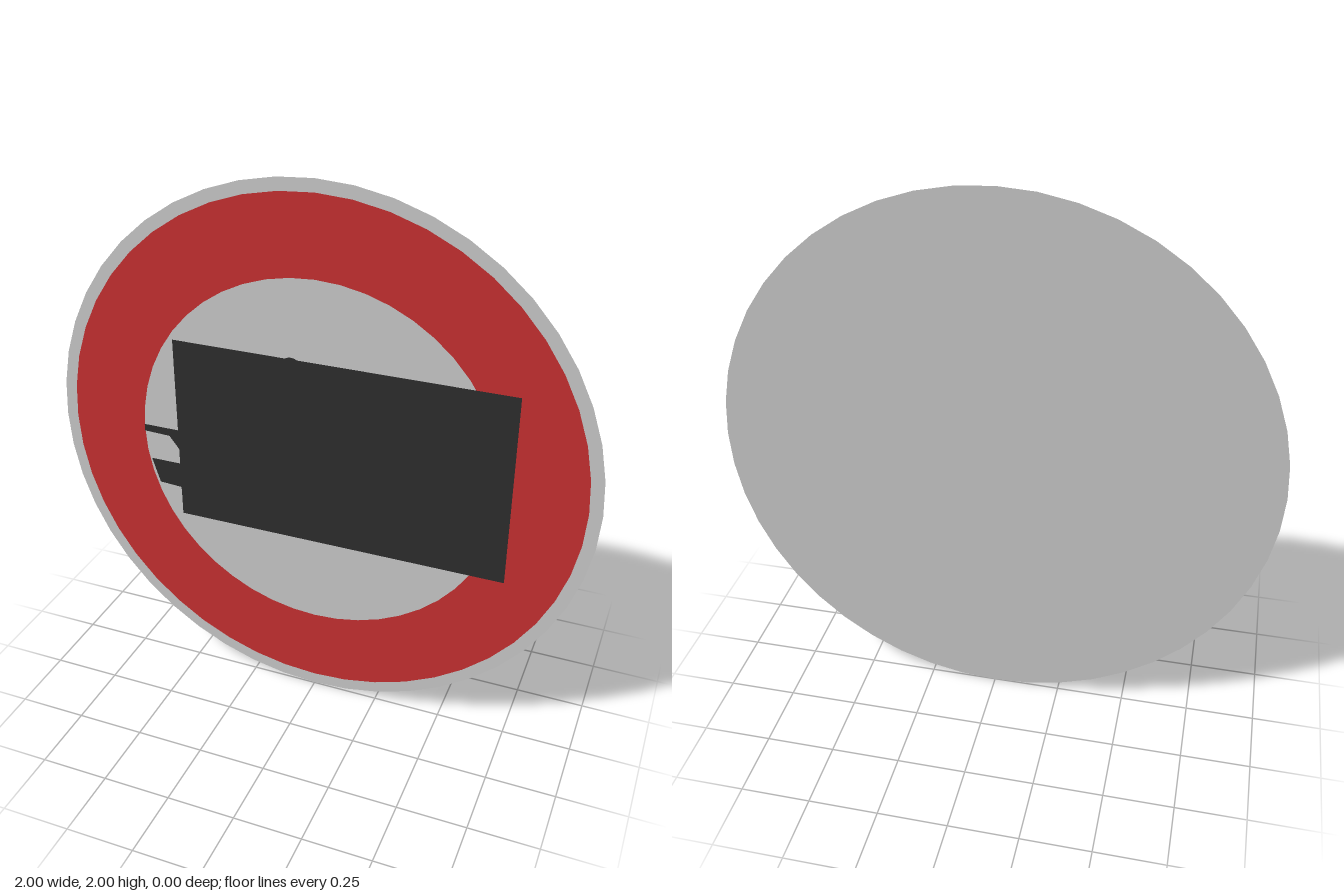
import * as THREE from 'three';

export function createModel() {
  const group = new THREE.Group();
  const SIDES = 48;

  // Adds one thin layer of the sign at depth z
  const layer = (name, geometry, color, x, y, z) => {
    const material = new THREE.MeshStandardMaterial({ color, side: THREE.DoubleSide });
    const mesh = new THREE.Mesh(geometry, material);
    mesh.name = name;
    mesh.position.set(x, y, z);
    group.add(mesh);
  };
  const polygon = (points) =>
    new THREE.ShapeGeometry(new THREE.Shape(points.map(([x, y]) => new THREE.Vector2(x, y))));

  // Round sheet and its red border
  layer('signDisc', new THREE.CircleGeometry(1, SIDES), 0xcccccc, 0, 1, -0.002);
  layer('redBorder', new THREE.RingGeometry(0.67, 0.955, SIDES), 0xc93032, 0, 1, -0.001);

  // Dark silhouette pieces that show beyond the panel
  const dark = 0x2e2e2e;
  layer('upperArm', polygon([
    [-0.67, 0.99], [-0.57, 0.987], [-0.53, 0.935], [-0.5, 0.935], [-0.5, 1.017], [-0.67, 1.017],
  ]), dark, 0, 0, 0.001);
  layer('lowerArm', polygon([
    [-0.62, 0.782], [-0.535, 0.777], [-0.53, 0.75], [-0.5, 0.75], [-0.5, 0.878], [-0.65, 0.878],
  ]), dark, 0, 0, 0.001);
  layer('topKnob', new THREE.CircleGeometry(0.04, 24), dark, -0.085, 1.342, 0.001);

  // Dark rectangular panel in front
  layer('darkPanel', new THREE.PlaneGeometry(1.235, 0.712), dark, 0.085, 1.02, 0.002);

  return group;
}
